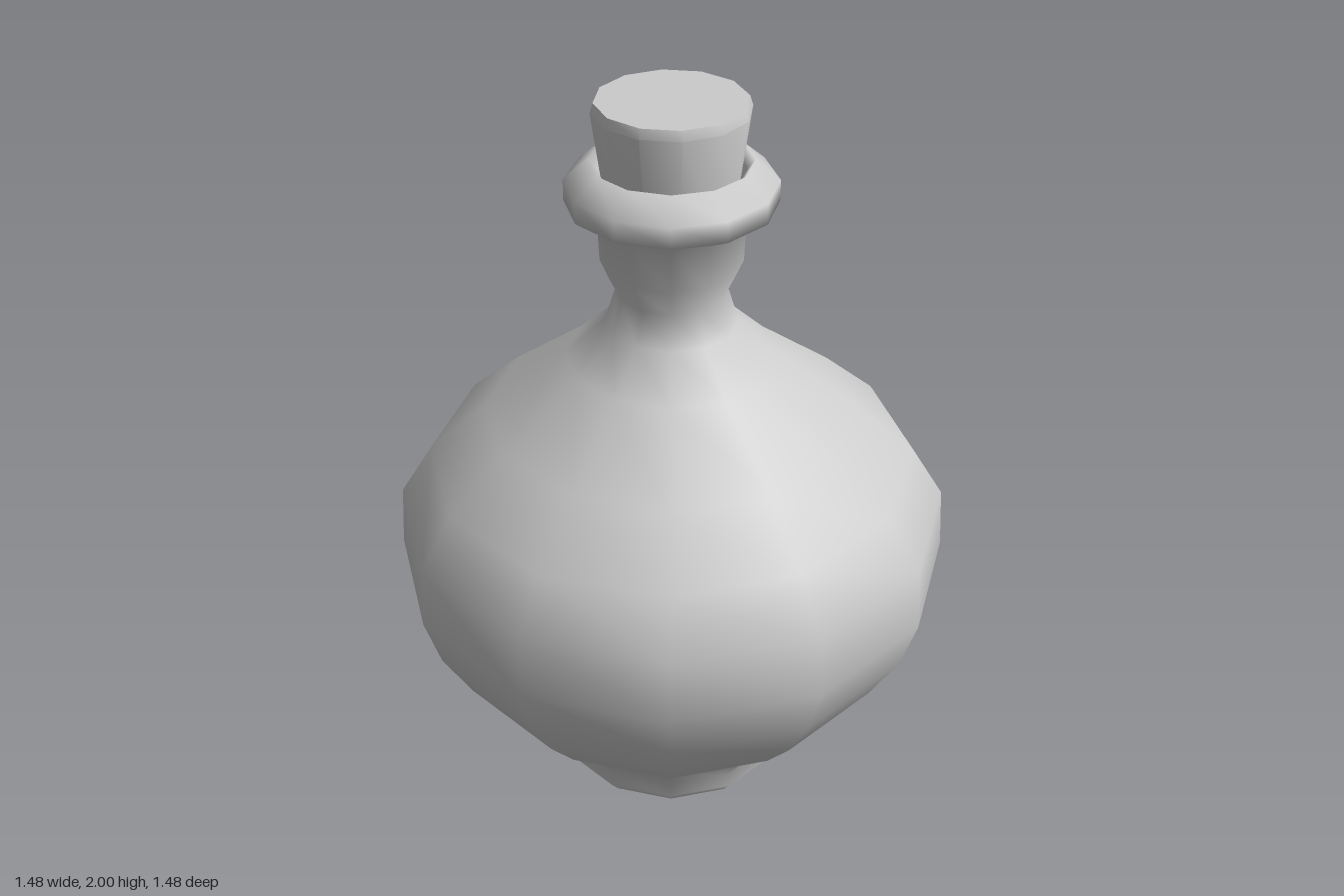
import * as THREE from 'three';
import { toCreasedNormals } from 'three/addons/utils/BufferGeometryUtils.js';

const SIDES = 12;
const TURN = THREE.MathUtils.degToRad(22.3);
const material = new THREE.MeshStandardMaterial({ color: 0xcccccc });

function lathe(points, turn) {
  return new THREE.LatheGeometry(points.map(([r, y]) => new THREE.Vector2(r, y)), SIDES, turn);
}

function addMesh(group, name, geometry) {
  const mesh = new THREE.Mesh(geometry, material);
  mesh.name = name;
  group.add(mesh);
  return mesh;
}

// Strap handle: each row is outer radius, outer y, inner radius, inner y, half width
function handleGeometry() {
  const rows = [
    [0.13, 1.33, 0.30, 1.25, 0.060],
    [0.18, 1.39, 0.29, 1.39, 0.050],
    [0.21, 1.51, 0.31, 1.49, 0.045],
    [0.28, 1.61, 0.365, 1.55, 0.042],
    [0.40, 1.66, 0.45, 1.58, 0.042],
    [0.50, 1.65, 0.535, 1.57, 0.042],
    [0.628, 1.57, 0.595, 1.52, 0.042],
    [0.693, 1.44, 0.658, 1.39, 0.042],
    [0.725, 1.285, 0.675, 1.23, 0.042],
    [0.725, 1.10, 0.655, 1.12, 0.045],
    [0.74, 1.02, 0.60, 1.02, 0.058],
    [0.765, 0.93, 0.60, 0.93, 0.072],
    [0.765, 0.87, 0.66, 0.86, 0.072],
  ];
  // Chamfered strap section: sideways fraction, outer-to-inner fraction
  const section = [[-0.7, 0], [0.7, 0], [1, 0.25], [1, 0.75], [0.7, 1], [-0.7, 1], [-1, 0.75], [-1, 0.25]];
  const n = section.length;
  const positions = [];
  const index = [];
  for (const [ro, yo, ri, yi, w] of rows) {
    for (const [s, t] of section) {
      positions.push(s * w, THREE.MathUtils.lerp(yo, yi, t), THREE.MathUtils.lerp(ro, ri, t));
    }
  }
  for (let i = 0; i < rows.length - 1; i++) {
    for (let j = 0; j < n; j++) {
      const a = i * n + j, b = i * n + (j + 1) % n;
      index.push(a, a + n, b, b, a + n, b + n);
    }
  }
  const last = (rows.length - 1) * n;
  for (let j = 1; j < n - 1; j++) {
    index.push(0, j, j + 1, last, last + j + 1, last + j);
  }
  const geometry = new THREE.BufferGeometry();
  geometry.setAttribute('position', new THREE.Float32BufferAttribute(positions, 3));
  geometry.setIndex(index);
  return toCreasedNormals(geometry, 0.6);
}

export function createModel() {
  const jug = new THREE.Group();
  jug.name = 'jug';

  // Foot, belly, neck and rolled lip, ending inside the mouth
  addMesh(jug, 'body', lathe([
    [0.305, 0], [0.337, 0.04], [0.323, 0.07], [0.388, 0.17], [0.525, 0.29],
    [0.625, 0.41], [0.705, 0.55], [0.748, 0.69], [0.737, 0.86], [0.65, 1.0],
    [0.492, 1.14], [0.278, 1.30], [0.172, 1.40], [0.144, 1.49], [0.182, 1.57],
    [0.187, 1.69], [0.268, 1.735], [0.268, 1.79], [0.205, 1.845], [0.185, 1.82], [0.165, 1.72],
  ], TURN));

  // Flat underside
  const base = addMesh(jug, 'base', new THREE.CircleGeometry(0.305, SIDES));
  base.rotation.set(Math.PI / 2, 0, TURN);

  // Tapered stopper
  addMesh(jug, 'stopper', toCreasedNormals(lathe([
    [0, 1.72], [0.163, 1.72], [0.198, 1.975], [0.19, 2.0], [0, 2.0],
  ], 0), 0.6));

  // Handle, swung round to the back
  const handle = addMesh(jug, 'handle', handleGeometry());
  handle.rotation.y = Math.atan2(-0.371, -0.928);

  return jug;
}
